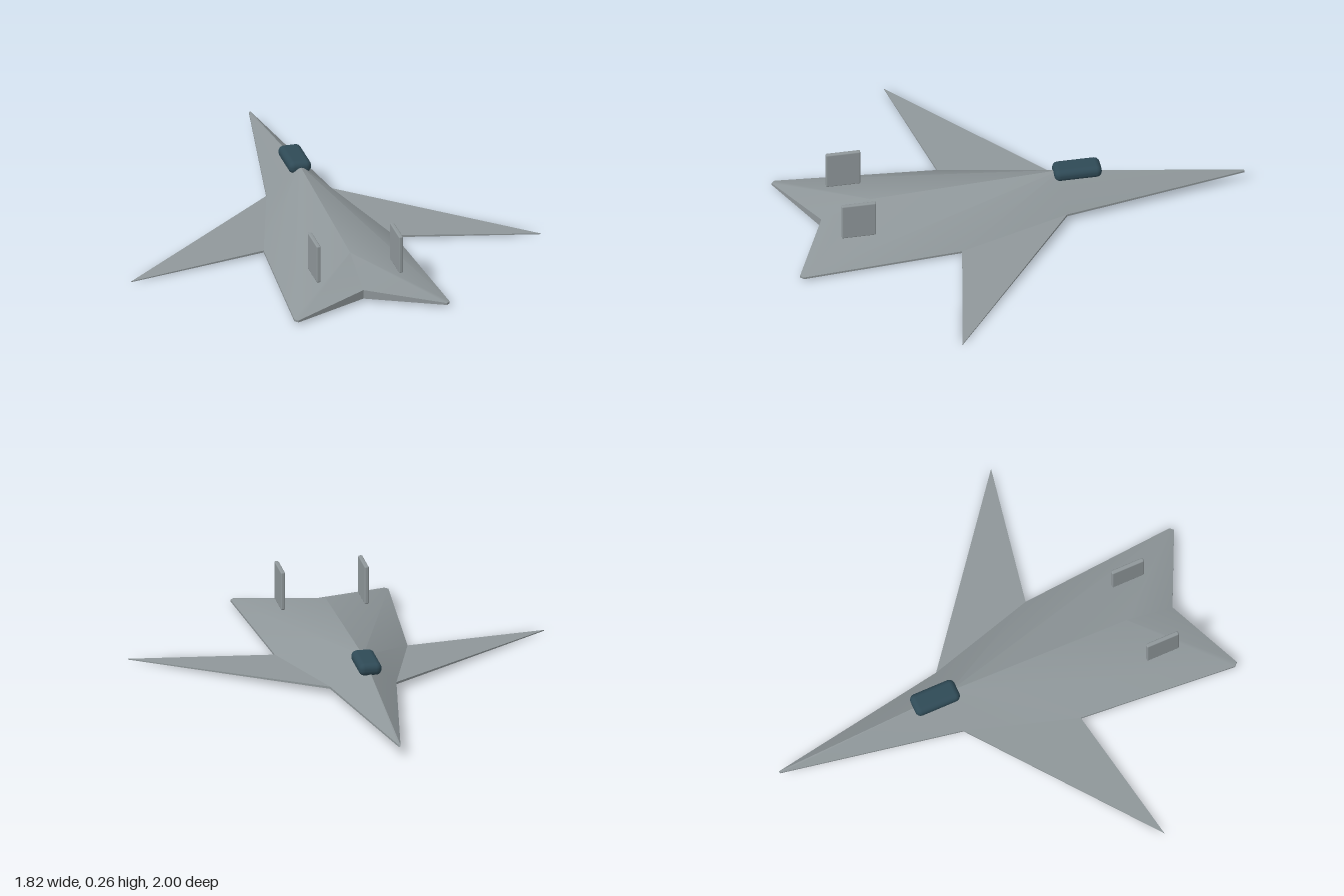
import * as THREE from 'three';
import { toCreasedNormals } from 'three/addons/utils/BufferGeometryUtils.js';
import { RoundedBoxGeometry } from 'three/addons/geometries/RoundedBoxGeometry.js';

// half-outline points: x, z, top y, bottom y
const P = {
  nose: [0.004, -1, 0.055, 0.047],
  shoulder: [0.145, -0.2, 0.04, 0.03],
  tip: [0.91, 0.4, 0.004, 0],
  notch: [0.29, 0.285, 0.02, 0.011],
  tailOuter: [0.345, 0.985, 0.02, 0.011],
  tailInner: [0.33, 1, 0.02, 0.011],
  rear: [0, 0.845, 0.052, 0.012],
  ridgeFront: [0, -0.2, 0.172, 0],
  ridgeBack: [0, 0.63, 0.132, 0],
};

// closed shell from top panels, bottom panels and a rim path, mirrored across x
function shell(top, bottom, rim, sides) {
  const pos = [];
  const tri = (s, a, b, c) => {
    const order = s > 0 ? [a, b, c] : [a, c, b];
    order.forEach(([name, level]) => {
      const p = P[name];
      pos.push(p[0] * s, p[level], p[1]);
    });
  };
  for (const s of sides) {
    for (const t of top) tri(s, ...t.map((n) => [n, 2]));
    for (const t of bottom) tri(s, ...t.map((n) => [n, 3]));
    for (let i = 0; i < rim.length - 1; i++) {
      const a = rim[i], b = rim[i + 1];
      tri(s, [a, 2], [b, 2], [b, 3]);
      tri(s, [a, 2], [b, 3], [a, 3]);
    }
  }
  const g = new THREE.BufferGeometry();
  g.setAttribute('position', new THREE.Float32BufferAttribute(pos, 3));
  return toCreasedNormals(g, 0.45);
}

export function createModel() {
  const group = new THREE.Group();
  const hullGrey = new THREE.MeshStandardMaterial({ color: 0x8f979a, side: THREE.DoubleSide });
  hullGrey.name = 'hullGrey';
  const canopyTeal = new THREE.MeshStandardMaterial({ color: 0x2f4a56 });
  canopyTeal.name = 'canopyTeal';

  const add = (name, geometry, material, x = 0, y = 0, z = 0) => {
    const mesh = new THREE.Mesh(geometry, material);
    mesh.name = name;
    mesh.position.set(x, y, z);
    group.add(mesh);
    return mesh;
  };

  // ridged body with a swallow-tail rear
  add('body', shell(
    [
      ['ridgeFront', 'shoulder', 'nose'],
      ['ridgeFront', 'notch', 'shoulder'],
      ['ridgeFront', 'tailOuter', 'notch'],
      ['ridgeFront', 'ridgeBack', 'tailOuter'],
      ['ridgeBack', 'tailInner', 'tailOuter'],
      ['ridgeBack', 'rear', 'tailInner'],
    ],
    [
      ['nose', 'shoulder', 'rear'],
      ['shoulder', 'notch', 'rear'],
      ['notch', 'tailOuter', 'rear'],
      ['tailOuter', 'tailInner', 'rear'],
    ],
    ['nose', 'shoulder'], [1, -1]), hullGrey);

  // edge band around the rear half of the body
  add('rearEdge', shell([], [], ['notch', 'tailOuter', 'tailInner', 'rear'], [1, -1]), hullGrey);

  // narrow centre strip closing the nose along the ridge
  const n = P.nose;
  const strip = new THREE.BufferGeometry();
  strip.setAttribute('position', new THREE.Float32BufferAttribute([
    0, 0.172, -0.2, n[0], n[2], n[1], -n[0], n[2], n[1],
    0, P.rear[3], P.rear[1], -n[0], n[3], n[1], n[0], n[3], n[1],
  ], 3));
  strip.computeVertexNormals();
  add('noseRidge', strip, hullGrey);

  // thin swept wings
  for (const [name, s] of [['leftWing', 1], ['rightWing', -1]]) {
    add(name, shell(
      [['shoulder', 'notch', 'tip']],
      [['shoulder', 'tip', 'notch']],
      ['shoulder', 'tip', 'notch'], [s]), hullGrey);
  }

  // upright tail fins
  const fin = new RoundedBoxGeometry(0.019, 0.172, 0.15, 2, 0.006);
  add('leftFin', fin, hullGrey, 0.183, 0.171, 0.716);
  add('rightFin', fin, hullGrey, -0.183, 0.171, 0.716);

  // rounded canopy
  add('canopy', new RoundedBoxGeometry(0.1, 0.055, 0.207, 3, 0.025), canopyTeal, 0, 0.166, -0.27);

  return group;
}
